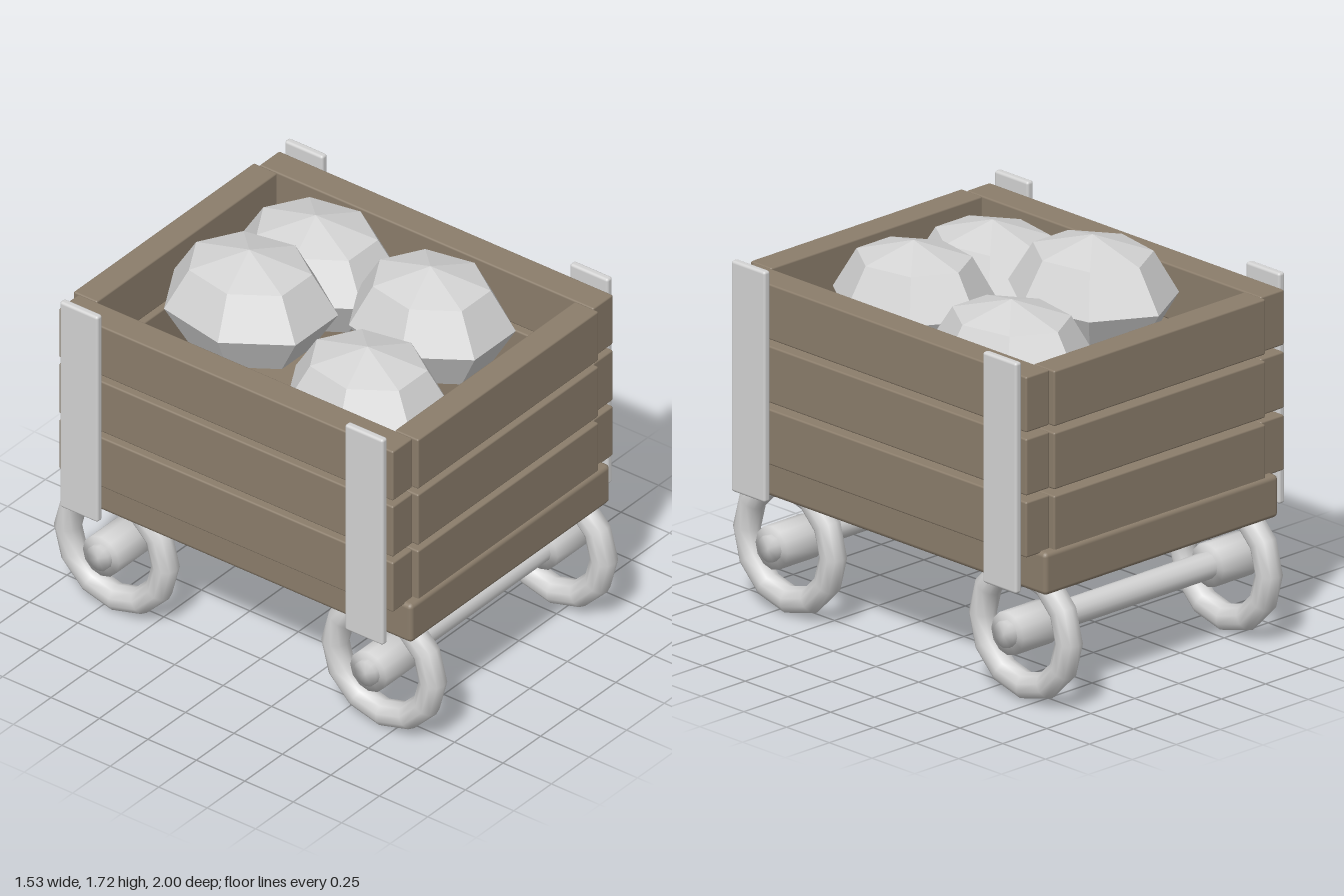
import * as THREE from 'three';
import { mergeVertices } from 'three/addons/utils/BufferGeometryUtils.js';
import { RoundedBoxGeometry } from 'three/addons/geometries/RoundedBoxGeometry.js';

const material = (name, color, flatShading = false) => {
  const m = new THREE.MeshStandardMaterial({ color, flatShading });
  m.name = name;
  return m;
};

// Box given by its lower and upper corners, with softened edges
function board(name, min, max, radius, mat) {
  const size = max.map((v, i) => v - min[i]);
  const mesh = new THREE.Mesh(new RoundedBoxGeometry(...size, 2, radius), mat);
  mesh.position.set(...max.map((v, i) => (v + min[i]) / 2));
  mesh.name = name;
  return mesh;
}

// Cylinder along x whose normals run smoothly over the rims
function softRod(radius, length) {
  const g = new THREE.CylinderGeometry(radius, radius, length, 12);
  g.rotateZ(Math.PI / 2);
  g.deleteAttribute('normal');
  g.deleteAttribute('uv');
  const soft = mergeVertices(g, 1e-4);
  soft.computeVertexNormals();
  return soft;
}

export function createModel() {
  const root = new THREE.Group();
  root.name = 'cart';
  const wood = material('wood', 0x8b7d6b);
  const metal = material('metal', 0xd3d3d3);
  const stone = material('stone', 0xd3d3d3);
  stone.flatShading = true;

  // Bed
  root.add(board('bed', [-0.663, 0.53, -0.903], [0.663, 0.715, 0.903], 0.02, wood));

  // Three rows of planks on all four sides
  for (const [low, high] of [[0.705, 0.947], [0.975, 1.222], [1.25, 1.492]]) {
    for (const s of [-1, 1]) {
      const x = [0.6 * s, 0.732 * s].sort((a, b) => a - b);
      const z = [0.768 * s, 0.89 * s].sort((a, b) => a - b);
      root.add(board('sidePlank', [x[0], low, -0.862], [x[1], high, 0.862], 0.008, wood));
      root.add(board('endPlank', [-0.6, low, z[0]], [0.6, high, z[1]], 0.008, wood));
    }
  }

  // Upright stakes on the outside of the long sides
  for (const sx of [-1, 1]) {
    for (const sz of [-1, 1]) {
      const x = [0.73 * sx, 0.765 * sx].sort((a, b) => a - b);
      const z = [0.637 * sz, 0.835 * sz].sort((a, b) => a - b);
      root.add(board('stake', [x[0], 0.547, z[0]], [x[1], 1.553, z[1]], 0.012, metal));
    }
  }

  // Axles, hubs and ring wheels
  const axleGeo = softRod(0.058, 1.39);
  const hubGeo = softRod(0.094, 0.21);
  const wheelGeo = new THREE.TorusGeometry(0.252, 0.058, 10, 12).rotateY(Math.PI / 2);
  for (const z of [-0.69, 0.69]) {
    const wheelset = new THREE.Group();
    wheelset.name = 'wheelset';
    wheelset.position.set(0, 0.315, z);
    const add = (name, geo, x) => {
      const mesh = new THREE.Mesh(geo, metal);
      mesh.name = name;
      mesh.position.x = x;
      wheelset.add(mesh);
    };
    add('axle', axleGeo, 0);
    for (const s of [-1, 1]) {
      add('hub', hubGeo, 0.568 * s);
      add('wheel', wheelGeo, 0.568 * s);
    }
    root.add(wheelset);
  }

  // Load of faceted stones: centre, then radii
  const stoneGeo = new THREE.SphereGeometry(1, 7, 4).rotateY(-Math.PI / 2);
  const stones = [
    [-0.19, 1.47, -0.3, 0.328, 0.253, 0.387],
    [-0.285, 1.335, 0.384, 0.312, 0.243, 0.37],
    [0.25, 1.4, 0.294, 0.315, 0.253, 0.37],
    [0.33, 1.345, -0.36, 0.318, 0.248, 0.384],
  ];
  for (const [x, y, z, rx, ry, rz] of stones) {
    const mesh = new THREE.Mesh(stoneGeo, stone);
    mesh.name = 'stone';
    mesh.position.set(x, y, z);
    mesh.scale.set(rx, ry, rz);
    root.add(mesh);
  }
  return root;
}
